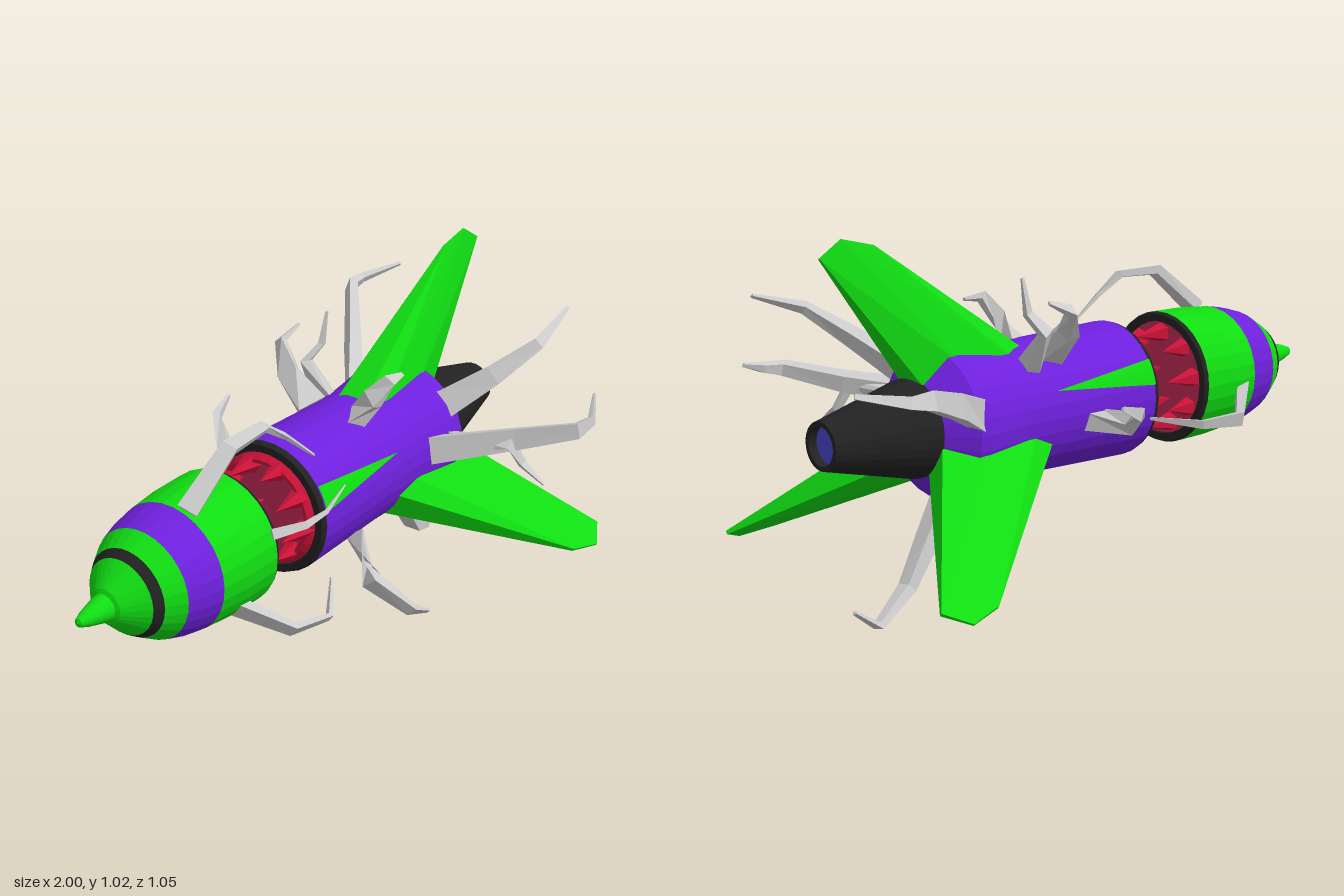
import * as THREE from 'three';
import { ConvexGeometry } from 'three/addons/geometries/ConvexGeometry.js';

const mat = (color) => new THREE.MeshStandardMaterial({ color, flatShading: true, side: THREE.DoubleSide });
const green = mat(0x10dd12), purple = mat(0x6e20dc), black = mat(0x222222);
const crimson = mat(0xcc1238), gum = mat(0xc22a58), blue = mat(0x4a48cc), grey = mat(0xcccccc);
const AXIS_Y = 0.496, AXIS_Z = -0.007;

function add(parent, name, geometry, material) {
  const mesh = new THREE.Mesh(geometry, material);
  mesh.name = name;
  parent.add(mesh);
  return mesh;
}

// Surface of revolution around the x axis from [x, radius] pairs
function turned(profile, segments = 30) {
  const points = profile.map(([x, r]) => new THREE.Vector2(r, x));
  return new THREE.LatheGeometry(points, segments).rotateZ(-Math.PI / 2);
}

// Ring of pointed teeth around the x axis; dir is the way they point
function teeth(parent, name, x, dir, count, turn) {
  for (let i = 0; i < count; i++) {
    const a = (i / count) * Math.PI * 2 + turn;
    const length = i % 2 ? 0.085 : 0.11;
    const g = new THREE.ConeGeometry(0.03, length, 5);
    g.rotateZ(-dir * Math.PI / 2);
    g.translate(x + dir * length / 2, 0.135 * Math.sin(a), 0.135 * Math.cos(a));
    add(parent, name, g, crimson);
  }
}

// Tapered four-sided limb through a few joints
function claw(joints, width) {
  const pts = joints.map((p) => new THREE.Vector3(...p));
  const pos = [], index = [], n = pts.length;
  pts.forEach((p, i) => {
    const dir = pts[Math.min(i + 1, n - 1)].clone().sub(pts[Math.max(i - 1, 0)]).normalize();
    const out = new THREE.Vector3(0, p.y - AXIS_Y, p.z - AXIS_Z).normalize();
    const side = dir.clone().cross(out);
    if (side.lengthSq() < 0.02) side.set(0, -out.z, out.y);
    side.normalize();
    const up = side.clone().cross(dir).normalize();
    const w = width * (1 - 0.85 * i / (n - 1));
    for (const [s, u] of [[1, 0.55], [-1, 0.55], [-0.7, -0.55], [0.7, -0.55]]) {
      const v = p.clone().addScaledVector(side, s * w).addScaledVector(up, u * w);
      pos.push(v.x, v.y, v.z);
    }
  });
  for (let i = 0; i < n - 1; i++) {
    for (let k = 0; k < 4; k++) {
      const a = i * 4 + k, b = i * 4 + (k + 1) % 4;
      index.push(a, a + 4, b, b, a + 4, b + 4);
    }
  }
  const e = (n - 1) * 4;
  index.push(0, 1, 2, 0, 2, 3, e, e + 2, e + 1, e, e + 3, e + 2);
  const g = new THREE.BufferGeometry();
  g.setAttribute('position', new THREE.Float32BufferAttribute(pos, 3));
  g.setIndex(index);
  g.computeVertexNormals();
  return g;
}

export function createModel() {
  const model = new THREE.Group();
  model.name = 'clawedRocket';
  const hull = new THREE.Group();
  hull.name = 'hull';
  hull.position.set(0, AXIS_Y, AXIS_Z);
  model.add(hull);

  // Nose, in coloured bands
  add(hull, 'noseTip', turned([[-1, 0], [-0.995, 0.012], [-0.97, 0.022], [-0.92, 0.035], [-0.9, 0.038],
    [-0.895, 0.05], [-0.835, 0.108]]), green);
  add(hull, 'noseBlackBand', turned([[-0.835, 0.108], [-0.81, 0.125]]), black);
  add(hull, 'noseGreenBand', turned([[-0.81, 0.125], [-0.755, 0.157]]), green);
  add(hull, 'nosePurpleBand', turned([[-0.755, 0.157], [-0.7, 0.174], [-0.645, 0.184]]), purple);
  add(hull, 'noseCollar', turned([[-0.645, 0.184], [-0.55, 0.193], [-0.437, 0.195]]), green);
  add(hull, 'noseRim', turned([[-0.437, 0.195], [-0.425, 0.19], [-0.425, 0.168], [-0.445, 0.165]]), black);
  add(hull, 'noseGum', turned([[-0.435, 0.168], [-0.44, 0]]), gum);
  teeth(hull, 'noseTooth', -0.437, 1, 9, 0.2);

  // Body, waist flare and exhaust
  add(hull, 'body', turned([[-0.22, 0.196], [0.1, 0.188], [0.25, 0.19], [0.4, 0.208], [0.43, 0.205],
    [0.5, 0.135]]), purple);
  add(hull, 'bodyRim', turned([[-0.225, 0.165], [-0.237, 0.168], [-0.237, 0.19], [-0.22, 0.196]]), black);
  add(hull, 'bodyGum', turned([[-0.225, 0], [-0.23, 0.168]]), gum);
  add(hull, 'bodyGumRing', turned([[-0.23, 0.13], [-0.25, 0.14], [-0.25, 0.15], [-0.23, 0.165]]), crimson);
  teeth(hull, 'bodyTooth', -0.232, -1, 9, 0.55);
  add(hull, 'exhaust', turned([[0.49, 0.136], [0.52, 0.135], [0.8, 0.066], [0.8, 0.053], [0.775, 0.052]]), black);
  add(hull, 'exhaustGlow', turned([[0.775, 0.053], [0.777, 0]]), blue);

  // Swept fins: thick root, thin tip
  for (const [angle, scale] of [[0, 1], [125.7, 1.19], [-125.7, 1.19]]) {
    const pts = [];
    for (const s of [-1, 1]) {
      for (const [x, r, w] of [[0.14, 0.17, 0.045], [0.22, 0.17, 0.075], [0.38, 0.16, 0.078], [0.5, 0.12, 0.05],
        [0.62, 0.505 * scale, 0.005], [0.72, 0.53 * scale, 0.003], [0.79, 0.485 * scale, 0.005]]) {
        pts.push(new THREE.Vector3(x, r, s * w));
      }
    }
    add(hull, 'fin', new ConvexGeometry(pts).rotateX(THREE.MathUtils.degToRad(angle)), green);
  }

  // Dart-shaped panels wrapped on both flanks
  for (const centre of [23, 157]) {
    const g = new THREE.PlaneGeometry(1, 1, 10, 4);
    const p = g.attributes.position;
    for (let i = 0; i < p.count; i++) {
      const t = p.getX(i) + 0.5;
      const a = THREE.MathUtils.degToRad(centre + p.getY(i) * 22 * (1 - t));
      const r = 0.2 - 0.007 * t;
      p.setXYZ(i, -0.22 + 0.36 * t, r * Math.sin(a), r * Math.cos(a));
    }
    g.computeVertexNormals();
    add(hull, 'dartPanel', g, green);
  }

  // Thin limbs bridging the mouth gap
  const jaws = [
    [[-0.63, 0.67, 0.05], [-0.48, 0.8, 0.07], [-0.34, 0.805, 0.07], [-0.26, 0.75, 0.08], [-0.16, 0.66, 0.1]],
    [[-0.54, 0.38, 0.13], [-0.44, 0.3, 0.24], [-0.32, 0.29, 0.27], [-0.19, 0.32, 0.18]],
    [[-0.6, 0.46, -0.18], [-0.43, 0.43, -0.33], [-0.3, 0.43, -0.31], [-0.18, 0.45, -0.22]],
    [[-0.45, 0.57, 0.18], [-0.37, 0.58, 0.23], [-0.28, 0.58, 0.23], [-0.14, 0.59, 0.19]],
  ];
  jaws.forEach((j, i) => add(model, 'jawLimb', claw(j, i === 3 ? 0.015 : 0.03), grey));

  // Clawed limbs around the body: joints and root half-width
  const limbs = [
    [0.045, [0.38, 0.53, -0.15], [0.6, 0.62, -0.32], [0.82, 0.7, -0.485], [0.88, 0.705, -0.485], [1, 0.73, -0.425]],
    [0.042, [0.3, 0.52, 0.17], [0.45, 0.55, 0.36], [0.55, 0.58, 0.51], [0.61, 0.59, 0.52], [0.71, 0.62, 0.47]],
    [0.042, [0.41, 0.61, 0.14], [0.5, 0.7, 0.25], [0.6, 0.785, 0.335], [0.77, 0.84, 0.33]],
    [0.03, [0.38, 0.52, 0.18], [0.43, 0.54, 0.36], [0.46, 0.47, 0.385], [0.46, 0.425, 0.46]],
    [0.045, [0, 0.36, 0.12], [-0.02, 0.24, 0.2], [0.04, 0.15, 0.295], [0.125, 0.105, 0.295]],
    [0.045, [0.38, 0.33, -0.02], [0.48, 0.2, -0.04], [0.57, 0.08, -0.06], [0.7, 0.014, -0.105], [0.79, 0.075, -0.125]],
    [0.045, [0, 0.47, -0.18], [0, 0.49, -0.34], [0.07, 0.54, -0.43], [0.15, 0.57, -0.45]],
    [0.045, [0.1, 0.65, -0.11], [0.11, 0.73, -0.19], [0.15, 0.8, -0.25], [0.22, 0.83, -0.24]],
    [0.035, [0.19, 0.64, -0.12], [0.19, 0.74, -0.19], [0.225, 0.79, -0.16], [0.235, 0.888, -0.15]],
    [0.045, [0.09, 0.66, 0.06], [0.1, 0.73, 0.11], [0.13, 0.785, 0.145], [0.19, 0.785, 0.145]],
  ];
  for (const [width, ...joints] of limbs) add(model, 'clawLimb', claw(joints, width), grey);

  return model;
}
